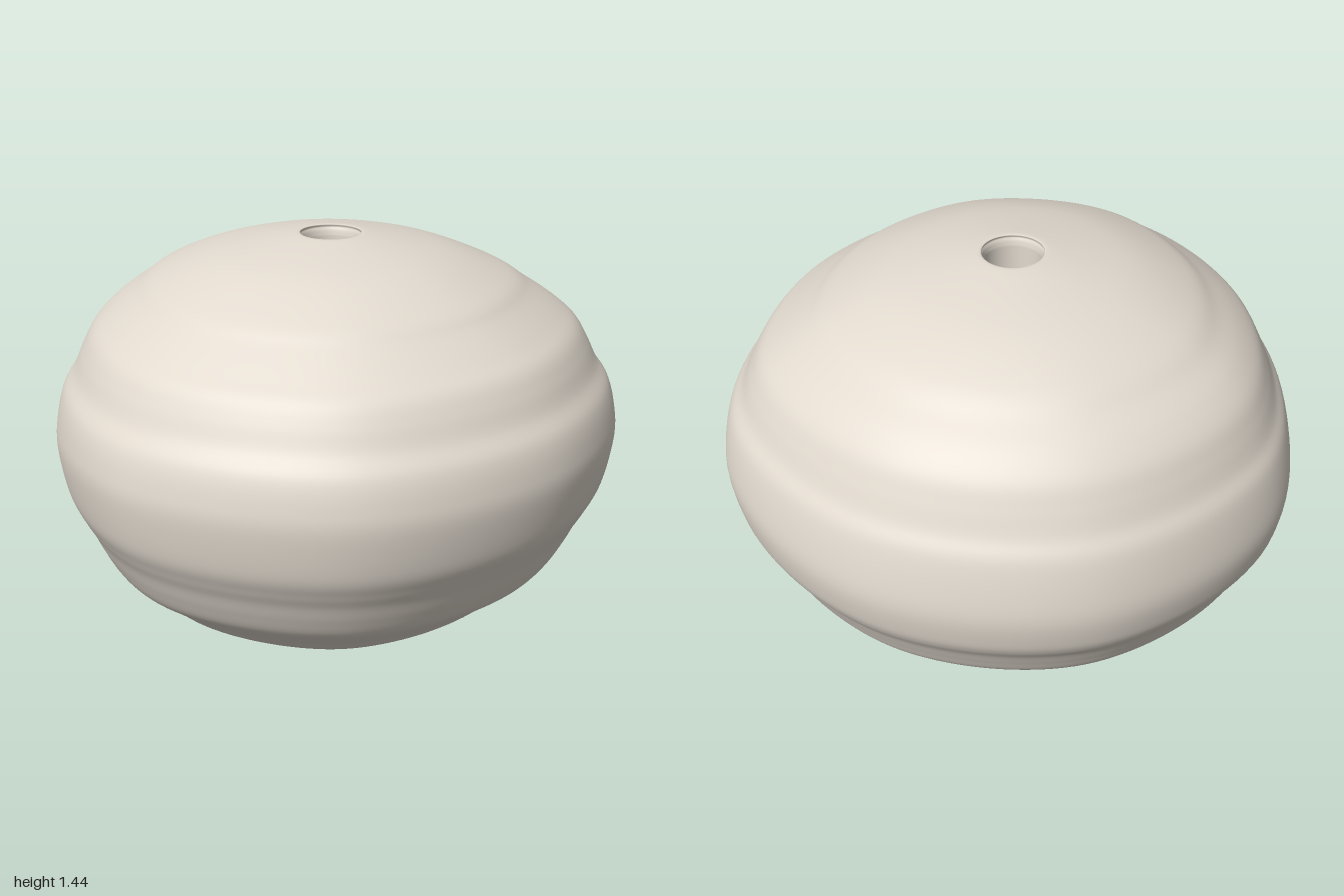
import * as THREE from 'three';
import { mergeVertices } from 'three/addons/utils/BufferGeometryUtils.js';

const vectors = (list) => list.map(([x, y]) => new THREE.Vector2(x, y));

// bore wall (downwards) and bottom rim, shared by every section
const bore = [[0.1, 1.4], [0.1, 1.3], [0.1, 0.72], [0.1, 0.14], [0.1, 0.04], [0.108, 0.014], [0.135, 0.004]];
const topRim = [[0.135, 1.436], [0.108, 1.426], [0.1, 1.4]];

// ridged outer sections on two opposite sides of the bead, bottom to top
const sideA = [
  [0.4, 0.055], [0.53, 0.11], [0.65, 0.18], [0.72, 0.24], [0.785, 0.293], [0.84, 0.34], [0.88, 0.41], [0.91, 0.475],
  [0.94, 0.53], [0.975, 0.61], [1, 0.76], [0.994, 0.85], [0.97, 0.935], [0.925, 1.0], [0.89, 1.07], [0.85, 1.13],
  [0.79, 1.175], [0.69, 1.245], [0.61, 1.3], [0.4, 1.385],
];
const sideB = [
  [0.4, 0.055], [0.59, 0.13], [0.69, 0.19], [0.75, 0.245], [0.81, 0.3], [0.865, 0.345], [0.9, 0.41], [0.93, 0.47],
  [0.965, 0.525], [0.985, 0.58], [1, 0.68], [0.99, 0.78], [0.96, 0.9], [0.92, 0.97], [0.885, 1.05], [0.845, 1.125],
  [0.78, 1.19], [0.7, 1.245], [0.6, 1.31], [0.4, 1.385],
];

export function createModel() {
  const group = new THREE.Group();
  const clay = new THREE.MeshStandardMaterial({ color: 0xe2dacf });
  clay.name = 'clay';

  const SEGMENTS = 128;
  const STEPS = 180;
  const pointsA = new THREE.SplineCurve(vectors([...bore, ...sideA, ...topRim])).getPoints(STEPS);
  const pointsB = new THREE.SplineCurve(vectors([...bore, ...sideB, ...topRim])).getPoints(STEPS);

  // slightly lopsided plan outline, radii every 45 degrees starting at the front
  const radii = [0.998, 1.043, 0.998, 0.994, 0.999, 0.955, 0.999, 1.009];
  const plan = new THREE.CatmullRomCurve3(
    radii.map((r, i) => new THREE.Vector3(r * Math.sin(i * Math.PI / 4), 0, r * Math.cos(i * Math.PI / 4))),
    true, 'catmullrom', 0.5
  );

  // revolve the section, then reshape each column to the plan and blended section
  const lathe = new THREE.LatheGeometry(pointsA, SEGMENTS);
  const position = lathe.attributes.position;
  for (let i = 0; i <= SEGMENTS; i++) {
    const u = (i % SEGMENTS) / SEGMENTS;
    const outline = plan.getPoint(u);
    const sin = Math.sin(u * Math.PI * 2);
    const cos = Math.cos(u * Math.PI * 2);
    const blend = THREE.MathUtils.smoothstep(0.5 + 0.5 * (sin - cos), 0, 1);
    for (let j = 0; j <= STEPS; j++) {
      const p = pointsA[j].clone().lerp(pointsB[j], blend);
      const round = 1 - THREE.MathUtils.smoothstep(p.x, 0.12, 0.75);
      position.setXYZ(
        i * (STEPS + 1) + j,
        p.x * THREE.MathUtils.lerp(outline.x, sin, round) + 0.012 * round,
        p.y,
        p.x * THREE.MathUtils.lerp(outline.z, cos, round) + 0.014 * round
      );
    }
  }

  // weld the seams for continuous smooth normals
  lathe.deleteAttribute('uv');
  lathe.deleteAttribute('normal');
  const geometry = mergeVertices(lathe, 1e-5);
  geometry.computeVertexNormals();

  const bead = new THREE.Mesh(geometry, clay);
  bead.name = 'ridgedBead';
  group.add(bead);
  return group;
}
